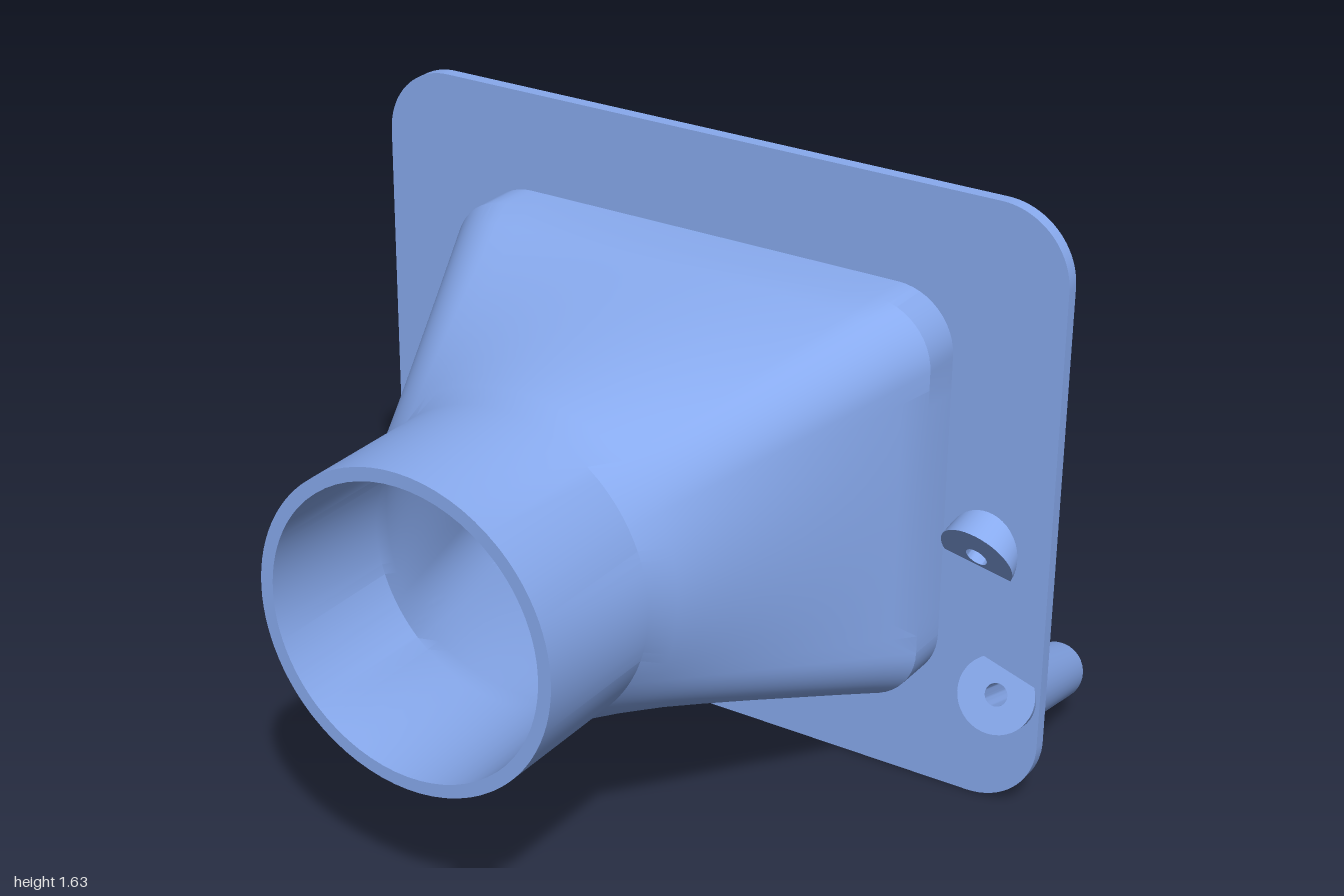
import * as THREE from 'three';
import { toCreasedNormals } from 'three/addons/utils/BufferGeometryUtils.js';

const CY = 0.815; // height of the duct axis
const HALF_W = 0.705, HALF_H = 0.548, CORNER = 0.16; // rectangular end of the duct
const R_OUT = 0.415, R_IN = 0.38, WALL = 0.035;
const PLATE_Z = -0.45, PLATE_T = 0.035;

// Ring of matched points: a rounded rectangle with the circle angle of each point
function ductRing(w, h, r) {
  const sx = w - r, sy = h - r, arc = r * Math.PI / 2, total = sx + sy + arc;
  const quarter = [];
  const add = (x, y, s) => quarter.push([x, y, (s / total) * Math.PI / 2]);
  for (let i = 0; i < 8; i++) add(w, sy * i / 8, sy * i / 8);
  for (let i = 0; i < 12; i++) {
    const a = (i / 12) * Math.PI / 2;
    add(sx + r * Math.cos(a), sy + r * Math.sin(a), sy + arc * i / 12);
  }
  for (let i = 0; i <= 8; i++) add(sx * (1 - i / 8), h, sy + arc + sx * i / 8);
  const back = [...quarter].reverse();
  const P = Math.PI;
  return [
    ...quarter.slice(0, -1),
    ...back.slice(0, -1).map(([x, y, a]) => [-x, y, P - a]),
    ...quarter.slice(0, -1).map(([x, y, a]) => [-x, -y, P + a]),
    ...back.slice(0, -1).map(([x, y, a]) => [x, -y, 2 * P - a]),
  ];
}

// Closed shell: out along the outside, back along the inside
function ductGeometry() {
  const outer = ductRing(HALF_W, HALF_H, CORNER);
  const inner = ductRing(HALF_W - WALL, HALF_H - WALL, CORNER - WALL);
  const section = (ring, R, z, t) => ring.map(([x, y, a]) => [
    x + (R * Math.cos(a) - x) * t, CY + y + (R * Math.sin(a) - y) * t, z]);
  const side = (ring, R) => {
    const list = [section(ring, R, -0.56, 0)];
    for (let i = 0; i <= 10; i++) list.push(section(ring, R, -0.3 + 0.79 * i / 10, i / 10));
    list.push(section(ring, R, 0.885, 1));
    return list;
  };
  const rows = [...side(outer, R_OUT), ...side(inner, R_IN).reverse()];
  const n = outer.length, index = [];
  rows.forEach((_, i) => {
    const k = (i + 1) % rows.length;
    for (let j = 0; j < n; j++) {
      const m = (j + 1) % n;
      const a = i * n + j, b = i * n + m, c = k * n + m, d = k * n + j;
      index.push(a, b, c, a, c, d);
    }
  });
  const geo = new THREE.BufferGeometry();
  geo.setAttribute('position', new THREE.Float32BufferAttribute(rows.flat(2), 3));
  geo.setIndex(index);
  return toCreasedNormals(geo, 0.4);
}

function roundedRect(path, w, h, r) {
  path.moveTo(w, CY - h + r);
  path.absarc(w - r, CY + h - r, r, 0, Math.PI / 2);
  path.absarc(-w + r, CY + h - r, r, Math.PI / 2, Math.PI);
  path.absarc(-w + r, CY - h + r, r, Math.PI, Math.PI * 1.5);
  path.absarc(w - r, CY - h + r, r, Math.PI * 1.5, Math.PI * 2);
  return path;
}

// Tapered screw bosses: front and back centres
const BOSSES = [
  ['leftLowerBoss', [0.89, 0.322, -0.39], [0.835, 0.15, -0.857]],
  ['rightBoss', [-0.89, 0.535, -0.39], [-0.845, 0.385, -0.815]],
  ['leftUpperBoss', [0.81, 0.69, -0.395], [0.835, 0.815, -0.607]],
].map(([name, a, b]) => ({ name, a: new THREE.Vector3(...a), b: new THREE.Vector3(...b) }));

function bossGeometry(length) {
  const bore = 0.03;
  const profile = [[bore, 0], [0.103, 0], [0.077, length], [bore, length], [bore, 0]];
  const lathe = new THREE.LatheGeometry(profile.map(p => new THREE.Vector2(...p)), 40);
  return toCreasedNormals(lathe, 0.6);
}

export function createModel() {
  const model = new THREE.Group();
  model.name = 'ductAdapter';
  const material = new THREE.MeshStandardMaterial({ color: 0x88aaee });
  const add = (name, geometry) => {
    const mesh = new THREE.Mesh(geometry, material);
    mesh.name = name;
    model.add(mesh);
    return mesh;
  };

  // Round-to-rectangular duct
  add('duct', ductGeometry());

  // Mounting plate, open for the duct and the boss bores
  const plate = roundedRect(new THREE.Shape(), 1, CY, 0.19);
  plate.holes.push(roundedRect(new THREE.Path(), HALF_W - 0.015, HALF_H - 0.015, CORNER - 0.015));
  for (const { a, b } of BOSSES) {
    const p = a.clone().lerp(b, (PLATE_Z + PLATE_T / 2 - a.z) / (b.z - a.z));
    plate.holes.push(new THREE.Path().absarc(p.x, p.y, 0.055, 0, Math.PI * 2));
  }
  const plateGeo = new THREE.ExtrudeGeometry(plate, { depth: PLATE_T, bevelEnabled: false, curveSegments: 16 });
  add('mountingPlate', toCreasedNormals(plateGeo, 0.5)).position.z = PLATE_Z;

  // Bosses leaning through the plate
  for (const { name, a, b } of BOSSES) {
    const axis = b.clone().sub(a);
    const boss = add(name, bossGeometry(axis.length()));
    boss.position.copy(a);
    boss.quaternion.setFromUnitVectors(new THREE.Vector3(0, 1, 0), axis.normalize());
  }
  return model;
}
